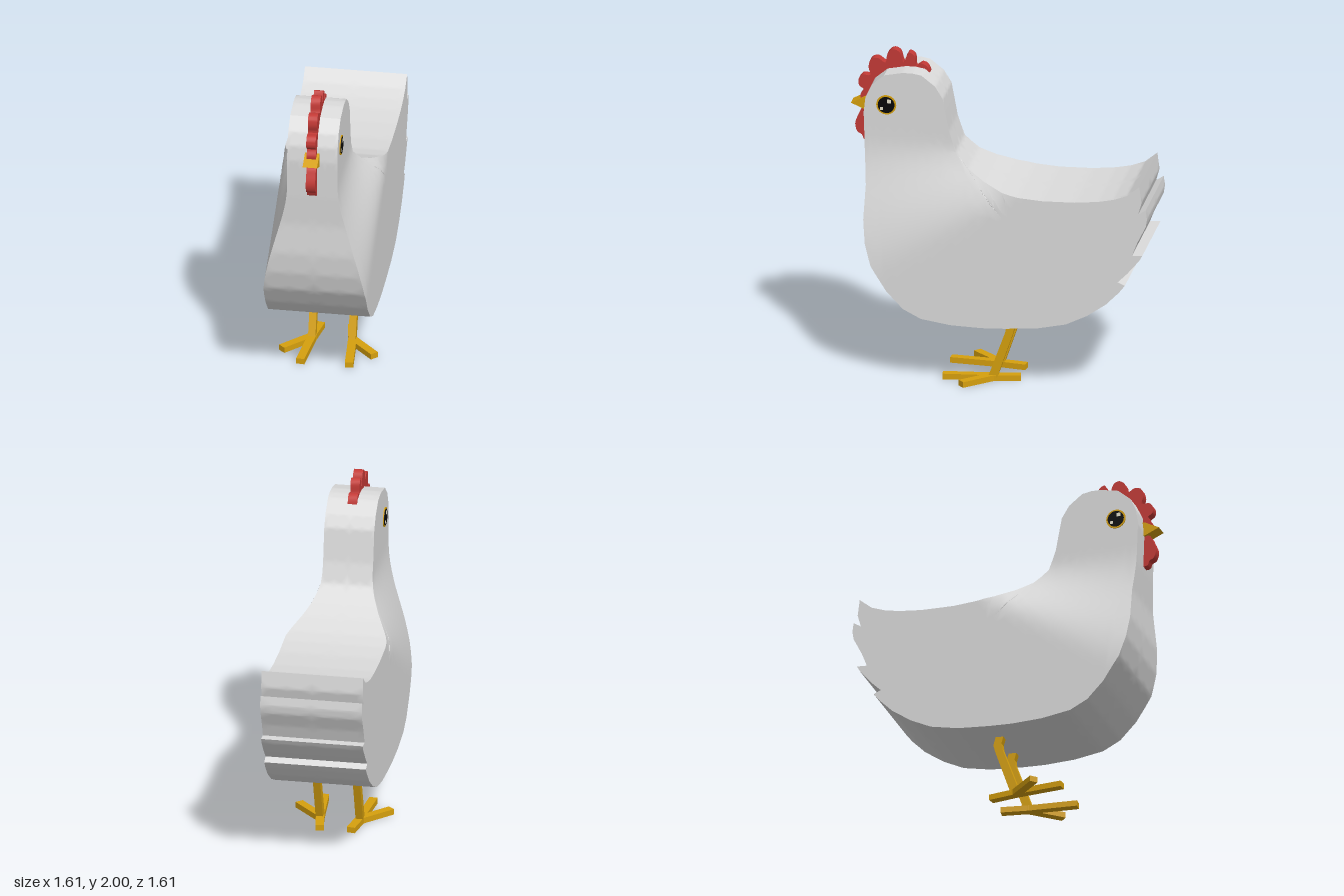
import * as THREE from 'three';
import { toCreasedNormals } from 'three/addons/utils/BufferGeometryUtils.js';

const paint = (name, color) => {
  const m = new THREE.MeshStandardMaterial({ color });
  m.name = name;
  return m;
};

// Local frame: +x is forward, y is up, -z is the bird's left.
export function createModel() {
  const white = paint('featherWhite', 0xdcdcdc);
  const red = paint('combRed', 0xc43a36);
  const gold = paint('beakGold', 0xd6a00e);
  const black = paint('pupilBlack', 0x080808);
  const glint = paint('glintCream', 0xe6e2cc);

  const bird = new THREE.Group();
  bird.name = 'hen';

  const add = (name, geometry, material, parent = bird) => {
    const mesh = new THREE.Mesh(geometry, material);
    mesh.name = name;
    parent.add(mesh);
    return mesh;
  };

  // Flat slab cut from a side outline, centred on z = 0
  const slab = (points, halfWidth, rounded = false) => {
    let pts = points.map(([x, y]) => new THREE.Vector2(x, y));
    if (rounded) {
      const curve = new THREE.CatmullRomCurve3(
        points.map(([x, y]) => new THREE.Vector3(x, y, 0)), true, 'centripetal');
      pts = curve.getPoints(points.length * 4).slice(0, -1).map((p) => new THREE.Vector2(p.x, p.y));
    }
    const g = new THREE.ExtrudeGeometry(new THREE.Shape(pts), {
      depth: halfWidth * 2, bevelEnabled: false, steps: 1,
    });
    return g.translate(0, 0, -halfWidth);
  };

  // Halve long edges until every triangle is small enough to bend
  const refine = (geometry, maxEdge) => {
    const p = geometry.toNonIndexed().attributes.position;
    const out = [];
    const split = (a, b, c) => {
      const ab = a.distanceTo(b), bc = b.distanceTo(c), ca = c.distanceTo(a);
      const longest = Math.max(ab, bc, ca);
      if (longest <= maxEdge) {
        for (const v of [a, b, c]) out.push(v.x, v.y, v.z);
        return;
      }
      if (longest === bc) [a, b, c] = [b, c, a];
      else if (longest === ca) [a, b, c] = [c, a, b];
      const m = a.clone().add(b).multiplyScalar(0.5);
      split(a, m, c);
      split(m, b, c);
    };
    const at = (i) => new THREE.Vector3().fromBufferAttribute(p, i);
    for (let i = 0; i < p.count; i += 3) split(at(i), at(i + 1), at(i + 2));
    const g = new THREE.BufferGeometry();
    g.setAttribute('position', new THREE.Float32BufferAttribute(out, 3));
    return g;
  };

  // Body: side outline, then narrowed in a fan towards the neck and head
  const outline = [
    [0.546, 1.89], [0.60, 1.9], [0.66, 1.9], [0.77, 1.878], [0.845, 1.815], [0.882, 1.735],
    [0.893, 1.64], [0.885, 1.4], [0.872, 1.2], [0.878, 1.0], [0.863, 0.86], [0.825, 0.73],
    [0.73, 0.58], [0.63, 0.475], [0.523, 0.42], [0.346, 0.392], [0.16, 0.385], [0.02, 0.39],
    [-0.176, 0.405], [-0.345, 0.44], [-0.47, 0.5], [-0.586, 0.58], [-0.665, 0.66],
    [-0.70, 0.705], [-0.657, 0.725],                                        // lowest feather
    [-0.713, 0.78], [-0.785, 0.865], [-0.805, 0.90], [-0.743, 0.897],       // middle feather
    [-0.775, 0.98], [-0.825, 1.08], [-0.833, 1.13], [-0.825, 1.185], [-0.78, 1.158],
    [-0.80, 1.23], [-0.787, 1.33],                                          // tail top
    [-0.713, 1.27], [-0.63, 1.24], [-0.54, 1.222], [-0.40, 1.208], [-0.204, 1.205],
    [-0.06, 1.216], [0.042, 1.237], [0.16, 1.283], [0.258, 1.337], [0.34, 1.423],
    [0.382, 1.55], [0.404, 1.67], [0.419, 1.75], [0.464, 1.825],
  ];
  const body = refine(slab(outline, 0.3), 0.08);
  const pos = body.attributes.position;
  for (let i = 0; i < pos.count; i++) {
    const angle = Math.atan2(1.48 - pos.getY(i), pos.getX(i) + 0.42);
    const halfWidth = 0.15 + 0.155 * THREE.MathUtils.smoothstep(angle, 0, 0.6);
    pos.setZ(i, pos.getZ(i) * halfWidth / 0.3);
  }
  add('body', toCreasedNormals(body, 0.5), white);

  // Comb and wattle
  const comb = [
    [0.52, 1.84], [0.53, 1.9], [0.565, 1.92], [0.6, 1.9], [0.61, 1.965], [0.645, 1.985],
    [0.675, 1.92], [0.70, 1.985], [0.735, 2.0], [0.77, 1.975], [0.785, 1.915], [0.83, 1.94],
    [0.87, 1.93], [0.885, 1.88], [0.875, 1.83], [0.92, 1.83], [0.945, 1.8], [0.94, 1.76],
    [0.915, 1.74], [0.935, 1.7], [0.92, 1.66], [0.87, 1.67], [0.84, 1.75], [0.75, 1.84], [0.62, 1.86],
  ];
  const wattle = [
    [0.86, 1.6], [0.92, 1.62], [0.945, 1.58], [0.965, 1.52], [0.95, 1.47],
    [0.925, 1.455], [0.91, 1.425], [0.865, 1.43],
  ];
  add('comb', toCreasedNormals(slab(comb, 0.028, true), 0.7), red);
  add('wattle', toCreasedNormals(slab(wattle, 0.028, true), 0.7), red);

  // Beak: a wedge with a straight front edge
  add('beak', slab([[0.87, 1.615], [0.9, 1.615], [0.988, 1.655], [0.9, 1.7], [0.87, 1.7]], 0.043), gold);

  const leg = [
    [0.012, 0.42], [-0.01, 0.34], [0, 0.3], [0.095, 0.02],
    [0.15, 0.02], [0.045, 0.31], [0.04, 0.345], [0.06, 0.42],
  ];

  for (const side of [1, -1]) {            // 1 is the bird's left
    const label = side > 0 ? 'left' : 'right';

    // Eye: stacked thin plates
    const eye = new THREE.Group();
    eye.name = label + 'Eye';
    eye.position.set(0.757, 1.695, -side * 0.15);
    eye.rotation.y = side > 0 ? Math.PI : 0;
    bird.add(eye);
    const disc = (name, r, depth, material) =>
      add(name, new THREE.CylinderGeometry(r, r, depth, 24).rotateX(Math.PI / 2)
        .translate(0, 0, depth / 2), material, eye);
    disc('eyeRing', 0.06, 0.005, gold);
    disc('pupil', 0.05, 0.008, black);
    for (const [x, y, size] of [[0.018, 0.024, 0.022], [-0.026, -0.022, 0.018]]) {
      add('eyeGlint', new THREE.BoxGeometry(size, size, 0.004), glint, eye).position.set(x, y, 0.008);
    }

    // Leg and three flat toes
    const limb = new THREE.Group();
    limb.name = label + 'Leg';
    bird.add(limb);
    add('shank', slab(leg, 0.022), gold, limb).position.z = -side * 0.12;
    const ankle = [0.12, 0.12];
    for (const [name, s, t] of [['frontToe', 0.41, 0.145], ['outerToe', 0.28, 0.27], ['backToe', -0.03, 0.095]]) {
      const ds = s - ankle[0], dt = t - ankle[1];
      const toe = add(name, new THREE.BoxGeometry(Math.hypot(ds, dt) + 0.02, 0.035, 0.05), gold, limb);
      toe.position.set(ankle[0] + ds / 2, 0.0175, -side * (ankle[1] + dt / 2));
      toe.rotation.y = Math.atan2(side * dt, ds);
    }
  }

  // The bird stands turned diagonally to its right
  bird.rotation.y = -0.75 * Math.PI;
  const model = new THREE.Group();
  model.name = 'henModel';
  model.add(bird);
  return model;
}
